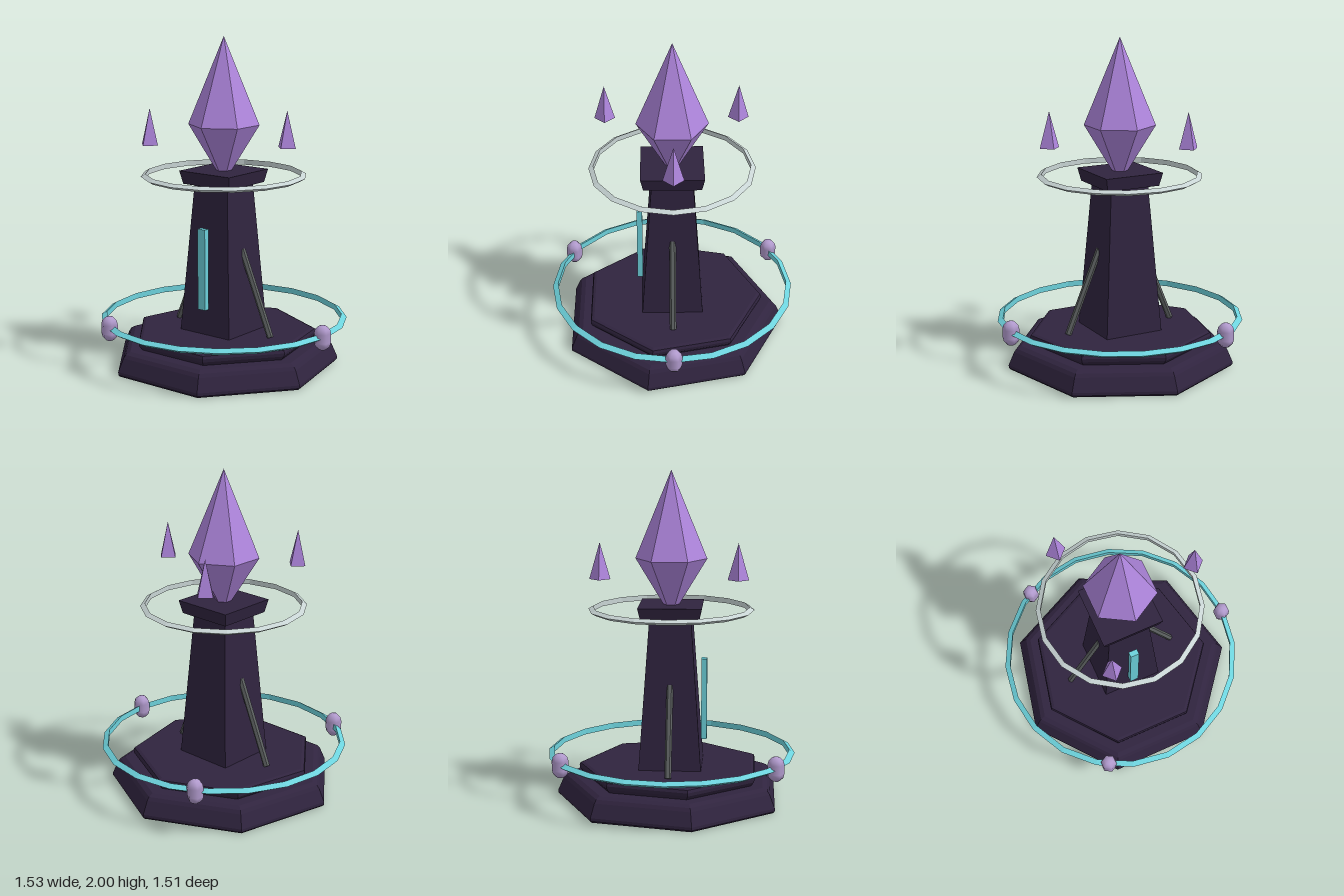
import * as THREE from 'three';

const mat = (name, color, extra = {}) => {
  const m = new THREE.MeshStandardMaterial({ color, ...extra });
  m.name = name;
  return m;
};

export function createModel() {
  const flat = { flatShading: true };
  const stone = mat('dark stone', 0x30243f, flat);
  const crystal = mat('violet crystal', 0xae85dc, flat);
  const beadPaint = mat('pale mauve', 0xb29bce);
  const teal = mat('teal glow', 0x6dd2dc, flat);
  const silver = mat('silver', 0xc8d4d4, flat);
  const iron = mat('dark iron', 0x5c6060, flat);

  const model = new THREE.Group();
  model.name = 'crystalTower';
  model.position.x = -0.015;
  const root = new THREE.Group();
  root.name = 'tower';
  model.add(root);

  const add = (name, geo, material, x = 0, y = 0, z = 0) => {
    const mesh = new THREE.Mesh(geo, material);
    mesh.name = name;
    mesh.position.set(x, y, z);
    root.add(mesh);
    return mesh;
  };

  // Seven-sided tier from a profile, with one corner pointing back
  const tier = (name, pts) => {
    const profile = pts.map(([r, y]) => new THREE.Vector2(r, y));
    add(name, new THREE.LatheGeometry(profile, 7, Math.PI), stone);
  };
  tier('lowerBase', [[0, 0], [0.688, 0], [0.7, 0.012], [0.7, 0.03],
    [0.665, 0.11], [0.65, 0.13], [0.62, 0.145], [0, 0.145]]);
  tier('upperBase', [[0, 0.14], [0.54, 0.145], [0.562, 0.17], [0.566, 0.19],
    [0.56, 0.207], [0.54, 0.215], [0, 0.215]]);

  // Square tapered block between two heights, given half widths
  const block = (name, top, bottom, y0, y1) => {
    const s = Math.SQRT2;
    const geo = new THREE.CylinderGeometry(top * s, bottom * s, y1 - y0, 4);
    geo.rotateY(Math.PI / 4);
    add(name, geo, stone, 0, (y0 + y1) / 2, 0);
  };
  block('pillar', 0.124, 0.188, 0.21, 1.13);
  block('pillarCap', 0.19, 0.173, 1.12, 1.2);

  // Rings with a sharp outer edge
  const ring = (name, radius, tube, segments, material, y) => {
    const geo = new THREE.TorusGeometry(radius, tube, 3, segments);
    geo.rotateX(Math.PI / 2);
    add(name, geo, material, 0, y, 0);
  };
  ring('lowerRing', 0.731, 0.022, 20, teal, 0.29);
  ring('upperRing', 0.481, 0.019, 16, silver, 1.168);

  // Main crystal: two six-sided cones
  add('crystalTop', new THREE.ConeGeometry(0.215, 0.525, 6, 1, true), crystal, 0, 1.7375, 0);
  const lower = new THREE.ConeGeometry(0.215, 0.355, 6, 1, true);
  lower.rotateX(Math.PI);
  add('crystalBottom', lower, crystal, 0, 1.2975, 0);

  // Three floating shards and three beads on the lower ring
  const shardGeo = new THREE.ConeGeometry(0.062, 0.215, 4);
  const beadGeo = new THREE.CapsuleGeometry(0.05, 0.053, 3, 6);
  beadGeo.rotateY(Math.PI / 6);
  for (let i = 0; i < 3; i++) {
    const a = (i * Math.PI * 2) / 3;
    const c = Math.cos(a), s = Math.sin(a);
    add('shard' + (i + 1), shardGeo, crystal, 0.465 * c, 1.488, 0.465 * s);
    add('bead' + (i + 1), beadGeo, beadPaint, 0.731 * c, 0.29, 0.731 * s);
  }

  // Glowing bar in front of the pillar
  add('glowBar', new THREE.BoxGeometry(0.055, 0.495, 0.034), teal, 0, 0.6225, 0.2);

  // Slanted braces on both sides
  for (const side of [1, -1]) {
    const foot = new THREE.Vector3(0.355 * side, 0.218, 0);
    const head = new THREE.Vector3(0.14 * side, 0.73, 0);
    const dir = head.clone().sub(foot);
    const brace = add(side > 0 ? 'leftBrace' : 'rightBrace',
      new THREE.CylinderGeometry(0.02, 0.02, dir.length(), 6), iron);
    brace.position.copy(foot).add(head).multiplyScalar(0.5);
    brace.quaternion.setFromUnitVectors(new THREE.Vector3(0, 1, 0), dir.normalize());
  }

  return model;
}
